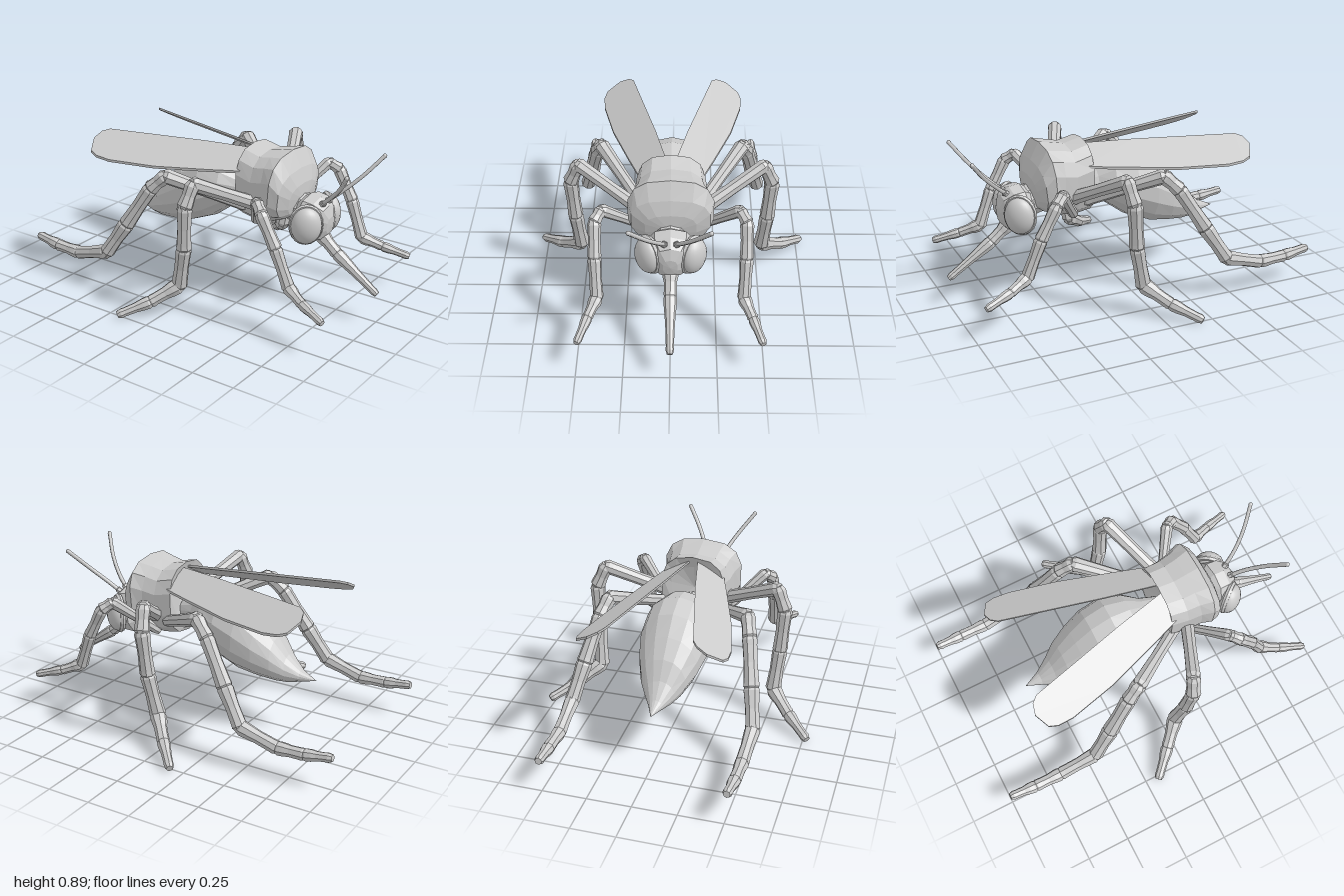
import * as THREE from 'three';

const flat = new THREE.MeshStandardMaterial({ color: 0xcccccc, flatShading: true });
const smooth = new THREE.MeshStandardMaterial({ color: 0xcccccc });
const V = (x, y, z) => new THREE.Vector3(x, y, z);

function add(parent, name, geometry, material = flat) {
  const mesh = new THREE.Mesh(geometry, material);
  mesh.name = name;
  parent.add(mesh);
  return mesh;
}

// Loft of rings [zTop, yTop, zBottom, yBottom, halfWidth], ordered back to front.
// A power below 1 makes the cross-section squarer.
function loft(rings, sides, power = 1) {
  const pos = [], idx = [];
  const soft = v => Math.sign(v) * Math.abs(v) ** power;
  for (const [zt, yt, zb, yb, w] of rings) {
    for (let j = 0; j < sides; j++) {
      const a = (j / sides) * Math.PI * 2;
      const t = (1 + soft(Math.cos(a))) / 2;
      pos.push(w * soft(Math.sin(a)), yb + (yt - yb) * t, zb + (zt - zb) * t);
    }
  }
  for (let i = 0; i < rings.length - 1; i++) {
    for (let j = 0; j < sides; j++) {
      const k = (j + 1) % sides, p = i * sides, q = p + sides;
      idx.push(p + j, q + j, p + k, p + k, q + j, q + k);
    }
  }
  const g = new THREE.BufferGeometry();
  g.setAttribute('position', new THREE.Float32BufferAttribute(pos, 3));
  g.setIndex(idx);
  g.computeVertexNormals();
  return g;
}

// Turned limb piece from a to b, waisted in the middle with a collar at each end
function limb(parent, name, a, b, r0, r1, sides = 8) {
  const d = b.clone().sub(a), len = d.length();
  const e = Math.min(0.03, len * 0.2);
  const profile = [
    [0, -e / 2], [r0 * 0.75, -e / 2], [r0 * 1.05, e * 0.5], [r0 * 1.0, e * 1.5],
    [(r0 + r1) * 0.46, len / 2], [r1, len - e], [r1 * 1.05, len - e * 0.2],
    [r1 * 0.75, len + e / 2], [0, len + e / 2],
  ].map(([r, y]) => new THREE.Vector2(r, y));
  const m = add(parent, name, new THREE.LatheGeometry(profile, sides));
  m.position.copy(a);
  m.quaternion.setFromUnitVectors(V(0, 1, 0), d.normalize());
  return m;
}

// Leg joints on the left side: [x, y, z, radius]
const LEGS = {
  frontLeg: [
    [0.15, 0.50, 0.31, 0.028], [0.37, 0.71, 0.46, 0.034], [0.405, 0.67, 0.51, 0.036],
    [0.405, 0.50, 0.60, 0.036], [0.395, 0.29, 0.68, 0.036],
    [0.44, 0.245, 0.79, 0.028], [0.485, 0.205, 0.93, 0.022],
  ],
  middleLeg: [
    [0.16, 0.60, 0.31, 0.04], [0.51, 0.79, 0.15, 0.04], [0.56, 0.67, 0.13, 0.042],
    [0.545, 0.42, 0.11, 0.042], [0.525, 0.18, 0.06, 0.044],
    [0.64, 0.095, -0.05, 0.035], [0.765, 0.035, -0.17, 0.026],
  ],
  hindLeg: [
    [0.15, 0.57, 0.24, 0.035], [0.40, 0.74, -0.12, 0.042], [0.43, 0.66, -0.20, 0.042],
    [0.48, 0.43, -0.34, 0.045], [0.52, 0.24, -0.46, 0.042],
    [0.515, 0.175, -0.68, 0.038], [0.515, 0.18, -0.84, 0.034], [0.51, 0.20, -0.985, 0.026],
  ],
};
const LEG_PARTS = ['Femur', 'Knee', 'UpperTibia', 'LowerTibia', 'Tarsus', 'Foot', 'FootTip'];

function buildLeg(parent, name, joints, s) {
  const leg = new THREE.Group();
  leg.name = name;
  joints.slice(1).forEach(([x, y, z, r], i) => {
    const [px, py, pz, pr] = joints[i];
    limb(leg, name + LEG_PARTS[i], V(s * px, py, pz), V(s * x, y, z), pr, r);
  });
  parent.add(leg);
}

// Thin blade that slopes down towards its outer edge
function wing(s) {
  const outline = [[0.02, 0.23], [0.09, -0.08], [0.235, -0.65], [0.265, -0.685], [0.32, -0.7],
    [0.395, -0.66], [0.41, -0.61], [0.405, -0.52], [0.34, -0.25], [0.24, 0.05], [0.17, 0.25]];
  const shape = new THREE.Shape(outline.map(([x, z]) => new THREE.Vector2(s * x, -z)));
  const g = new THREE.ExtrudeGeometry(shape, { depth: 0.014, bevelEnabled: false });
  g.rotateX(-Math.PI / 2);
  const p = g.attributes.position;
  for (let i = 0; i < p.count; i++) {
    p.setY(i, p.getY(i) + 0.89 - 0.55 * Math.abs(p.getX(i)) - 0.135 * p.getZ(i));
  }
  g.computeVertexNormals();
  return g;
}

export function createModel() {
  const model = new THREE.Group();
  model.name = 'insect';

  // Body
  add(model, 'abdomen', loft([
    [-0.645, 0.345, -0.645, 0.345, 0], [-0.55, 0.39, -0.56, 0.325, 0.04],
    [-0.47, 0.465, -0.49, 0.307, 0.085], [-0.40, 0.56, -0.42, 0.305, 0.13],
    [-0.31, 0.65, -0.31, 0.315, 0.17], [-0.21, 0.74, -0.19, 0.335, 0.195],
    [-0.09, 0.785, -0.06, 0.39, 0.195], [0.03, 0.76, 0.06, 0.48, 0.15],
    [0.12, 0.70, 0.13, 0.52, 0.09], [0.22, 0.66, 0.22, 0.53, 0.06],
  ], 14));
  add(model, 'thorax', loft([
    [0.24, 0.68, 0.24, 0.68, 0], [0.22, 0.82, 0.18, 0.50, 0.13],
    [0.20, 0.89, 0.19, 0.48, 0.19], [0.30, 0.865, 0.29, 0.465, 0.20],
    [0.37, 0.88, 0.38, 0.48, 0.21], [0.45, 0.895, 0.42, 0.50, 0.235],
    [0.50, 0.80, 0.47, 0.52, 0.215], [0.525, 0.72, 0.50, 0.54, 0.14],
    [0.53, 0.62, 0.53, 0.62, 0],
  ], 14, 0.75));

  // Head
  add(model, 'neck', loft([
    [0.42, 0.70, 0.42, 0.50, 0.1], [0.58, 0.64, 0.56, 0.46, 0.09],
  ], 10));
  add(model, 'head', loft([
    [0.50, 0.56, 0.50, 0.56, 0], [0.52, 0.64, 0.50, 0.42, 0.09],
    [0.57, 0.67, 0.52, 0.40, 0.13], [0.63, 0.66, 0.61, 0.40, 0.125],
    [0.68, 0.62, 0.66, 0.42, 0.085], [0.70, 0.56, 0.69, 0.46, 0.04],
    [0.70, 0.51, 0.70, 0.51, 0],
  ], 10, 0.8));

  // Proboscis
  const base = V(0, 0.45, 0.63), mid = V(0, 0.355, 0.74), tip = V(0, 0.185, 0.985);
  limb(model, 'proboscisBase', base, mid, 0.042, 0.034);
  limb(model, 'proboscis', mid, tip, 0.035, 0.021);

  for (const s of [1, -1]) {
    const side = s > 0 ? 'left' : 'right';

    // Eye set in a raised rim
    const eye = new THREE.Group();
    eye.name = side + 'Eye';
    eye.position.set(s * 0.122, 0.53, 0.615);
    eye.rotation.y = s * 0.9;
    model.add(eye);
    add(eye, side + 'Eyeball', new THREE.SphereGeometry(1, 20, 14), smooth).scale.set(0.085, 0.105, 0.06);
    const rim = add(eye, side + 'EyeRim', new THREE.TorusGeometry(1, 0.13, 6, 20));
    rim.scale.set(0.085, 0.105, 0.13);
    rim.position.z = -0.012;

    // Antenna on a small socket
    const path = new THREE.CatmullRomCurve3([
      V(s * 0.03, 0.63, 0.65), V(s * 0.06, 0.69, 0.72),
      V(s * 0.12, 0.78, 0.81), V(s * 0.205, 0.89, 0.895)]);
    add(model, side + 'Antenna', new THREE.TubeGeometry(path, 10, 0.012, 6), smooth);
    add(model, side + 'AntennaTip', new THREE.SphereGeometry(0.0125, 8, 6), smooth)
      .position.set(s * 0.205, 0.89, 0.895);
    limb(model, side + 'AntennaSocket', V(s * 0.025, 0.62, 0.64), V(s * 0.036, 0.645, 0.67), 0.02, 0.018, 6);

    add(model, side + 'Wing', wing(s));

    for (const [name, joints] of Object.entries(LEGS)) {
      buildLeg(model, side + name[0].toUpperCase() + name.slice(1), joints, s);
    }
  }
  return model;
}
